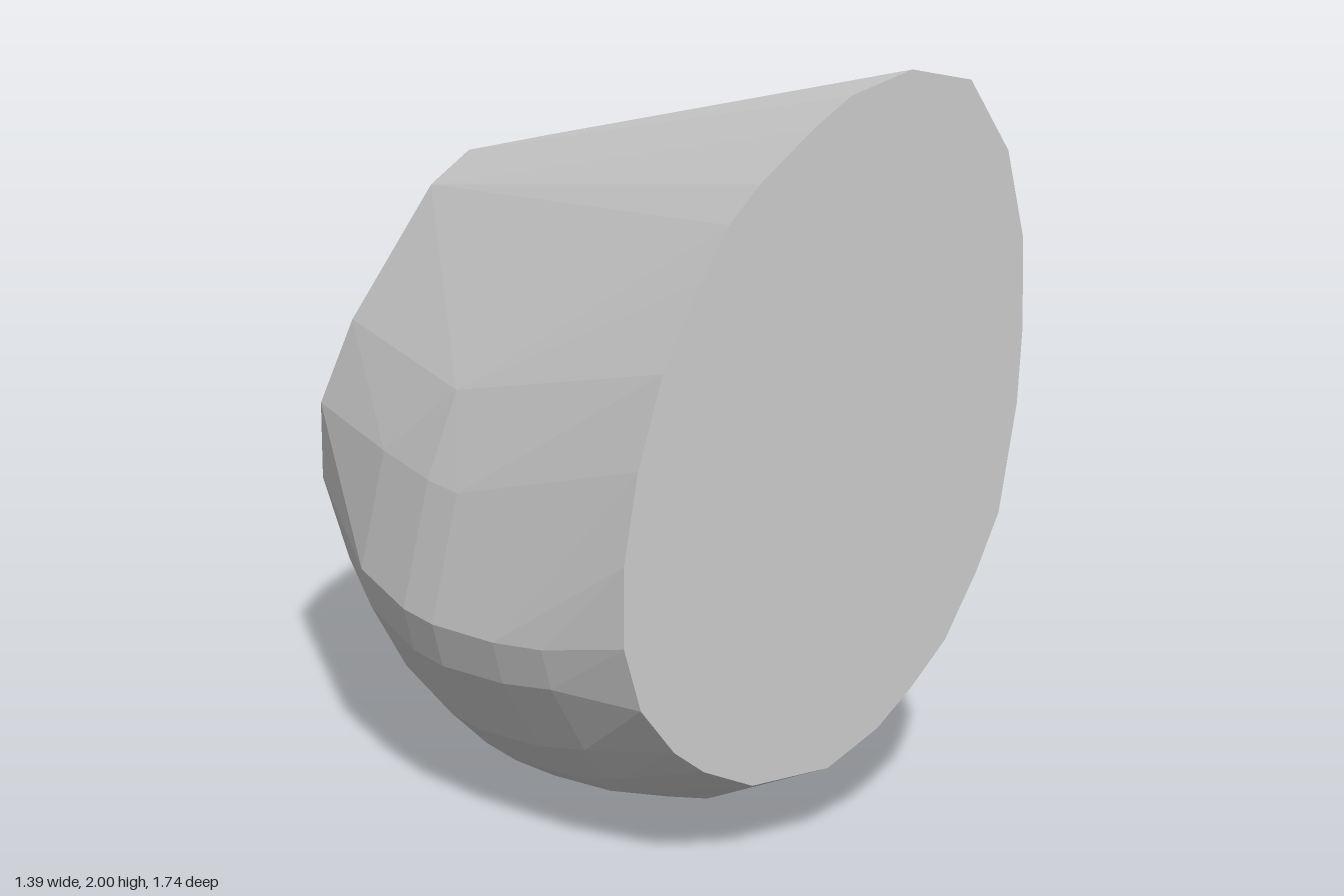
import * as THREE from 'three';
import { ConvexGeometry } from 'three/addons/geometries/ConvexGeometry.js';

// Large, leaning oval of the front cut (x, y)
const FRONT = [
  [0.30, 2.0], [0.49, 1.96], [0.62, 1.77], [0.68, 1.54], [0.69, 1.3], [0.68, 1.1], [0.63, 0.81],
  [0.56, 0.66], [0.46, 0.49], [0.35, 0.38], [0.24, 0.29], [0.08, 0.215], [-0.16, 0.22],
  [-0.31, 0.29], [-0.40, 0.36], [-0.50, 0.49], [-0.55, 0.66], [-0.55, 0.87], [-0.51, 1.1],
  [-0.44, 1.33], [-0.33, 1.54], [-0.25, 1.67], [-0.16, 1.76], [0, 1.88], [0.11, 1.95],
];

// Smaller oval of the back cut
const BACK = [
  [0.34, 1.6], [0.45, 1.5], [0.51, 1.3], [0.54, 1.1], [0.54, 0.89], [0.53, 0.68], [0.47, 0.5],
  [0.36, 0.38], [0.25, 0.28], [0.08, 0.21], [-0.16, 0.21], [-0.28, 0.29], [-0.37, 0.4],
  [-0.45, 0.66], [-0.45, 0.885], [-0.34, 1.12], [-0.07, 1.49], [0.06, 1.58],
];

// Lower belly, where the body is widest
const BELLY = [
  [-0.62, 0.9], [-0.70, 0.56], [-0.67, 0.44], [-0.56, 0.24], [-0.45, 0.13], [-0.33, 0.06],
  [-0.14, 0], [0.08, 0], [0.24, 0.07], [0.35, 0.16], [0.45, 0.28], [0.54, 0.44], [0.62, 0.66],
];

// Belly rings along z, each shrunk towards the body's axis: [z, scale]
const RINGS = [[0.62, 0.91], [0.45, 0.96], [0.2, 1], [0.05, 1], [-0.25, 0.95]];
const AXIS = [0.08, 1];

export function createModel() {
  const points = [];
  const addRing = (outline, z, s = 1) => outline.forEach(([x, y]) => points.push(
    new THREE.Vector3(AXIS[0] + (x - AXIS[0]) * s, AXIS[1] + (y - AXIS[1]) * s, z)));

  addRing(FRONT, 0.87);
  addRing(BACK, -0.87);
  RINGS.forEach(([z, s]) => addRing(BELLY, z, s));

  // Flank corner above the belly and the rear underside
  addRing([[-0.53, 1.13]], 0.05);
  addRing([[-0.12, 0.105], [0.08, 0.105]], -0.6);

  const body = new THREE.Mesh(
    new ConvexGeometry(points),
    new THREE.MeshStandardMaterial({ color: 0xcccccc, flatShading: true }));
  body.name = 'body';

  const model = new THREE.Group();
  model.name = 'facetedBlock';
  model.add(body);
  return model;
}
